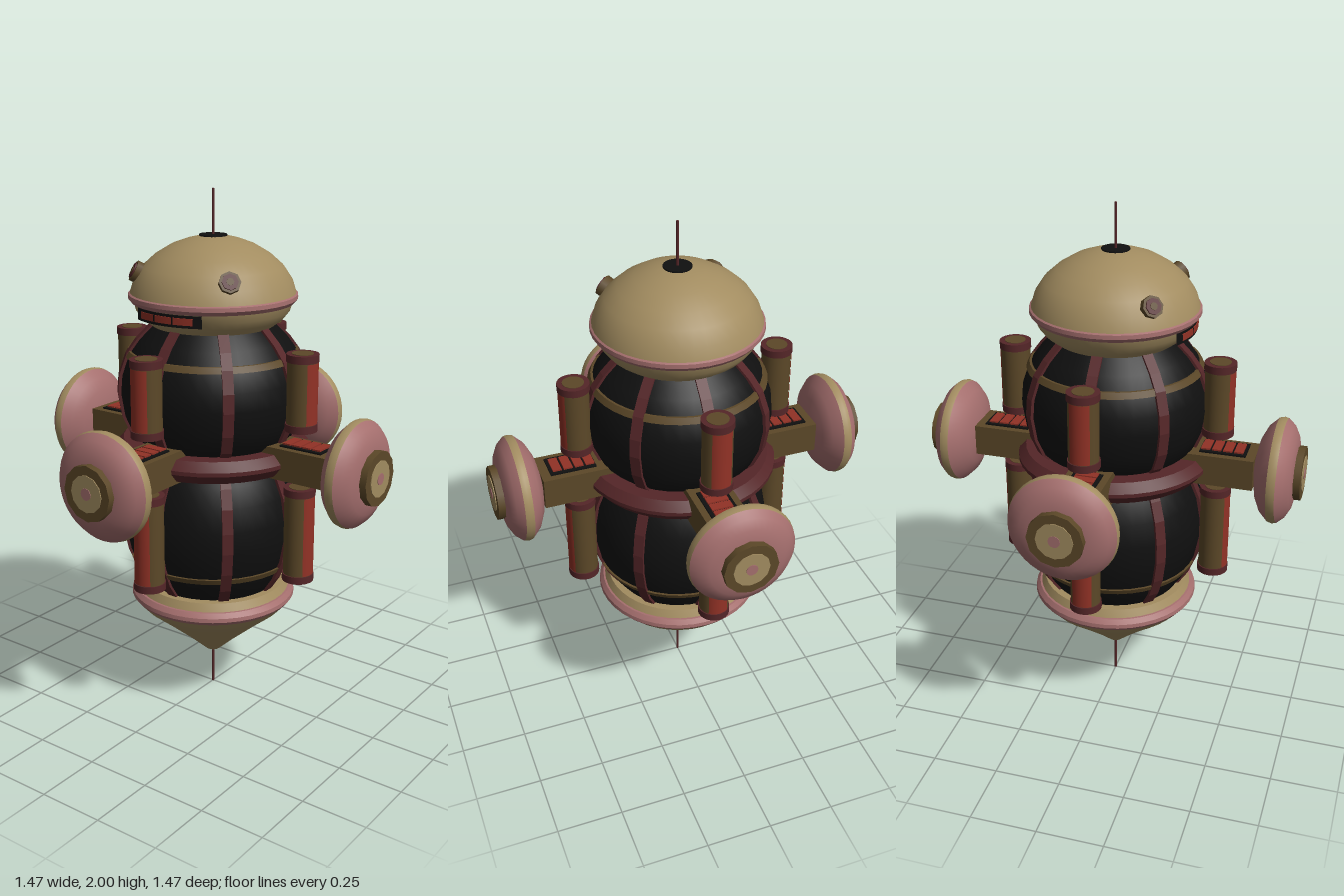
import * as THREE from 'three';
import { toCreasedNormals } from 'three/addons/utils/BufferGeometryUtils.js';

const paint = (name, color, side = THREE.FrontSide) => {
  const m = new THREE.MeshStandardMaterial({ color, side });
  m.name = name;
  return m;
};

export function createModel() {
  const tan = paint('tan', 0xa28c60);
  const brown = paint('brown', 0x5c4828);
  const pink = paint('dusty pink', 0xa56f6e);
  const maroon = paint('maroon', 0x552628);
  const red = paint('red', 0x923226);
  const black = paint('black', 0x101010);

  const model = new THREE.Group();
  model.name = 'spacePod';

  const add = (parent, name, geometry, material, x = 0, y = 0, z = 0) => {
    const mesh = new THREE.Mesh(geometry, material);
    mesh.name = name;
    mesh.position.set(x, y, z);
    parent.add(mesh);
    return mesh;
  };
  // Profile points are [radius, height], bottom to top
  const turned = (points, segments = 40, start = 0, length = Math.PI * 2) =>
    toCreasedNormals(new THREE.LatheGeometry(
      points.map(([r, y]) => new THREE.Vector2(r, y)), segments, start, length), 0.55);
  const cyl = (r, h, sides = 20) => new THREE.CylinderGeometry(r, r, h, sides);

  // Two dark barrels
  const lower = [[0.255, 0.48], [0.295, 0.54], [0.328, 0.62], [0.346, 0.71],
    [0.346, 0.79], [0.33, 0.88], [0.3, 0.95], [0.27, 1.0]];
  const upper = [[0.27, 1.05], [0.31, 1.09], [0.34, 1.16], [0.354, 1.25],
    [0.348, 1.32], [0.32, 1.4], [0.28, 1.455], [0.225, 1.51]];
  for (const [name, profile] of [['lowerBarrel', lower], ['upperBarrel', upper]]) {
    add(model, name, turned(profile), black);

    // Eight raised ribs following each barrel
    const outline = [...profile.map(([r, y]) => new THREE.Vector2(r + 0.01, y)),
      ...profile.map(([r, y]) => new THREE.Vector2(r - 0.03, y)).reverse()];
    const ribGeo = new THREE.ExtrudeGeometry(new THREE.Shape(outline),
      { depth: 0.04, bevelEnabled: false });
    ribGeo.translate(0, 0, -0.02);
    for (let i = 0; i < 8; i++) {
      add(model, name + 'Rib', ribGeo, maroon).rotation.y = i * Math.PI / 4;
    }
  }

  // Hoops around the barrels
  const hoop = (name, r0, r1, y) => add(model, name, turned([[r0 - 0.02, y - 0.011],
    [r0, y - 0.011], [r1, y + 0.011], [r1 - 0.02, y + 0.011]]), brown);
  hoop('upperHoop', 0.333, 0.321, 1.4);
  hoop('lowerHoop', 0.317, 0.328, 0.585);

  // Waist ring
  add(model, 'waistRing', turned([[0.25, 0.985], [0.345, 0.985], [0.374, 1.02],
    [0.374, 1.035], [0.345, 1.068], [0.25, 1.068]]), maroon);

  // Nose cone with collar
  add(model, 'noseCone', turned([[0, 0.155], [0.028, 0.155], [0.045, 0.17], [0.1, 0.22],
    [0.2, 0.305], [0.28, 0.37], [0.312, 0.405]]), tan);
  add(model, 'noseRing', turned([[0.3, 0.405], [0.312, 0.405], [0.324, 0.42],
    [0.322, 0.435], [0.308, 0.452], [0.28, 0.455]]), pink);
  add(model, 'noseCollar', turned([[0.302, 0.45], [0.285, 0.482], [0.24, 0.484]]), tan);

  // Head
  add(model, 'headBase', turned([[0.2, 1.5], [0.225, 1.5], [0.265, 1.53],
    [0.288, 1.56], [0.298, 1.595]]), tan);
  add(model, 'headRim', turned([[0.28, 1.59], [0.305, 1.59], [0.317, 1.605],
    [0.316, 1.62], [0.305, 1.627]]), pink);
  add(model, 'dome', turned([[0.31, 1.622], [0.295, 1.67], [0.262, 1.72], [0.215, 1.762],
    [0.155, 1.798], [0.1, 1.818], [0.05, 1.83], [0, 1.83]]), tan);
  add(model, 'domeCap', cyl(0.052, 0.008, 24), black, 0, 1.831, 0);
  add(model, 'topAntenna', cyl(0.005, 0.18, 8), maroon, 0, 1.91, 0);
  add(model, 'bottomAntenna', cyl(0.005, 0.17, 8), maroon, 0, 0.085, 0);

  // Curved mouth grille with three lit cells
  add(model, 'grilleFrame', turned([[0.25, 1.543], [0.301, 1.543], [0.301, 1.587],
    [0.25, 1.587]], 12, -0.5, 1), black);
  for (const i of [-1, 0, 1]) {
    add(model, 'grilleCell', turned([[0.295, 1.553], [0.304, 1.553], [0.304, 1.578],
      [0.295, 1.578]], 4, i * 0.27 - 0.125, 0.25), red);
  }

  // Eyes on the dome
  for (const s of [-1, 1]) {
    const eye = new THREE.Group();
    eye.name = s > 0 ? 'leftEye' : 'rightEye';
    eye.position.set(s * 0.202, 1.695, 0.182);
    eye.quaternion.setFromUnitVectors(new THREE.Vector3(0, 1, 0),
      new THREE.Vector3(s, 0.75, 1).normalize());
    add(eye, 'eyeSocket', cyl(0.04, 0.05, 8), brown);
    add(eye, 'eyeRing', cyl(0.03, 0.008, 8), maroon, 0, 0.026, 0);
    add(eye, 'eyeLens', cyl(0.014, 0.008, 8), brown, 0, 0.028, 0);
    model.add(eye);
  }

  // One side assembly facing +z, repeated on four sides
  for (let k = 0; k < 4; k++) {
    const side = new THREE.Group();
    side.name = 'sideAssembly';
    side.rotation.y = k * Math.PI / 2;
    model.add(side);

    // Arm with a row of lit panels
    add(side, 'arm', new THREE.BoxGeometry(0.16, 0.12, 0.27), brown, 0, 1.035, 0.415);
    add(side, 'armPanel', new THREE.BoxGeometry(0.108, 0.008, 0.175), black, 0, 1.097, 0.428);
    for (let i = 0; i < 4; i++) {
      add(side, 'armCell', new THREE.BoxGeometry(0.08, 0.01, 0.034), red, 0, 1.102, 0.361 + i * 0.042);
    }

    // Upper and lower tanks
    for (const [name, y0, y1] of [['lowerTank', 0.565, 0.935], ['upperTank', 1.155, 1.442]]) {
      const h = y1 - y0, mid = (y0 + y1) / 2;
      add(side, name, cyl(0.056, h - 0.01, 24), brown, 0, mid, 0.398);
      add(side, name + 'Strip', new THREE.CylinderGeometry(0.058, 0.058, h - 0.06, 10, 1, true,
        -0.7, 1.4), red, 0, mid, 0.398);
      for (const y of [y0 + 0.014, y1 - 0.014]) {
        add(side, name + 'Cap', cyl(0.06, 0.028, 24), maroon, 0, y, 0.398);
      }
      add(side, name + 'EndDiscs', cyl(0.04, h + 0.004, 20), brown, 0, mid, 0.398);
    }

    // Round pod, turned along its own axis
    const pod = new THREE.Group();
    pod.name = 'pod';
    pod.position.y = 1.035;
    pod.rotation.x = Math.PI / 2;
    side.add(pod);
    add(pod, 'podBack', turned([[0, 0.548], [0.06, 0.55], [0.12, 0.563], [0.165, 0.585],
      [0.197, 0.618]]), pink);
    add(pod, 'podBand', turned([[0.197, 0.618], [0.201, 0.634], [0.197, 0.65]]), tan);
    add(pod, 'podFront', turned([[0.197, 0.65], [0.175, 0.675], [0.14, 0.694],
      [0.1, 0.702], [0, 0.704]]), pink);
    add(pod, 'podHub', cyl(0.102, 0.05, 12), brown, 0, 0.703, 0);
    add(pod, 'podHubDisc', cyl(0.068, 0.006, 12), tan, 0, 0.728, 0);
    add(pod, 'podHubStud', cyl(0.022, 0.006, 12), pink, 0, 0.73, 0);
  }

  return model;
}
